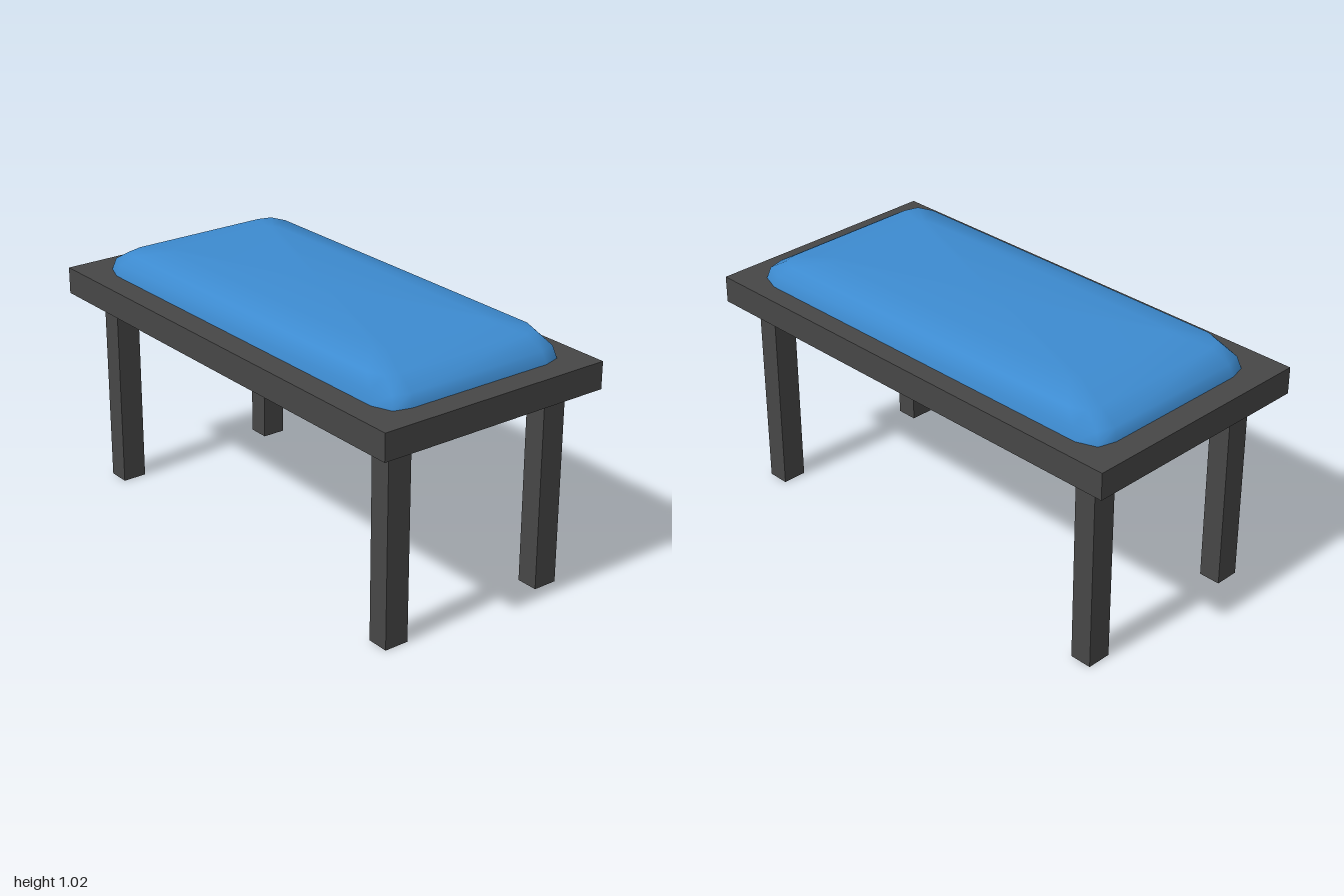
import * as THREE from 'three';

const frameMaterial = new THREE.MeshStandardMaterial({ color: 0x464646 });
frameMaterial.name = 'dark grey frame';
const cushionMaterial = new THREE.MeshStandardMaterial({ color: 0x3d8bd0 });
cushionMaterial.name = 'blue upholstery';

function box(name, w, h, d, x, y, z) {
  const mesh = new THREE.Mesh(new THREE.BoxGeometry(w, h, d), frameMaterial);
  mesh.name = name;
  mesh.position.set(x, y, z);
  return mesh;
}

// Rectangle outline with softened corners, counterclockwise from above
function ring(a, b, y, c) {
  const corner = [[a, b - c], [a - 0.2 * c, b - 0.3 * c], [a - c, b]];
  const points = [];
  for (const [sx, sz] of [[1, -1], [-1, -1], [-1, 1], [1, 1]]) {
    const part = corner.map(([x, z]) => [x * sx, y, z * sz]);
    if (sx === sz) part.reverse();
    points.push(...part);
  }
  return points;
}

// Padded cushion: stacked outlines closed by a flat top
function cushionGeometry() {
  const rings = [
    ring(0.9, 0.41, 0.908, 0.1),
    ring(0.885, 0.4, 0.955, 0.1),
    ring(0.81, 0.37, 1.0, 0.08),
    ring(0.65, 0.25, 1.025, 0.03),
  ];
  const n = rings[0].length;
  const positions = rings.flat();
  const index = [];
  for (let r = 0; r < rings.length - 1; r++) {
    for (let i = 0; i < n; i++) {
      const j = (i + 1) % n;
      const a = r * n + i, b = r * n + j;
      index.push(a, b, b + n, a, b + n, a + n);
    }
  }
  const top = (rings.length - 1) * n;
  const centre = positions.length;
  positions.push([0, 1.025, 0]);
  for (let i = 0; i < n; i++) index.push(centre, top + i, top + (i + 1) % n);

  const geometry = new THREE.BufferGeometry();
  geometry.setAttribute('position', new THREE.Float32BufferAttribute(positions.flat(), 3));
  geometry.setIndex(index);
  geometry.computeVertexNormals();
  return geometry;
}

export function createModel() {
  const model = new THREE.Group();
  model.name = 'paddedBench';

  model.add(box('seatFrame', 2, 0.108, 1, 0, 0.854, 0));

  // Four legs, the back pair slightly further out than the front pair
  for (const [side, x] of [['left', 0.855], ['right', -0.855]]) {
    model.add(box(side + 'FrontLeg', 0.09, 0.8, 0.1, x, 0.4, 0.35));
    model.add(box(side + 'BackLeg', 0.09, 0.8, 0.1, x, 0.4, -0.37));
  }

  const cushion = new THREE.Mesh(cushionGeometry(), cushionMaterial);
  cushion.name = 'cushion';
  cushion.position.z = -0.01;
  model.add(cushion);

  return model;
}
